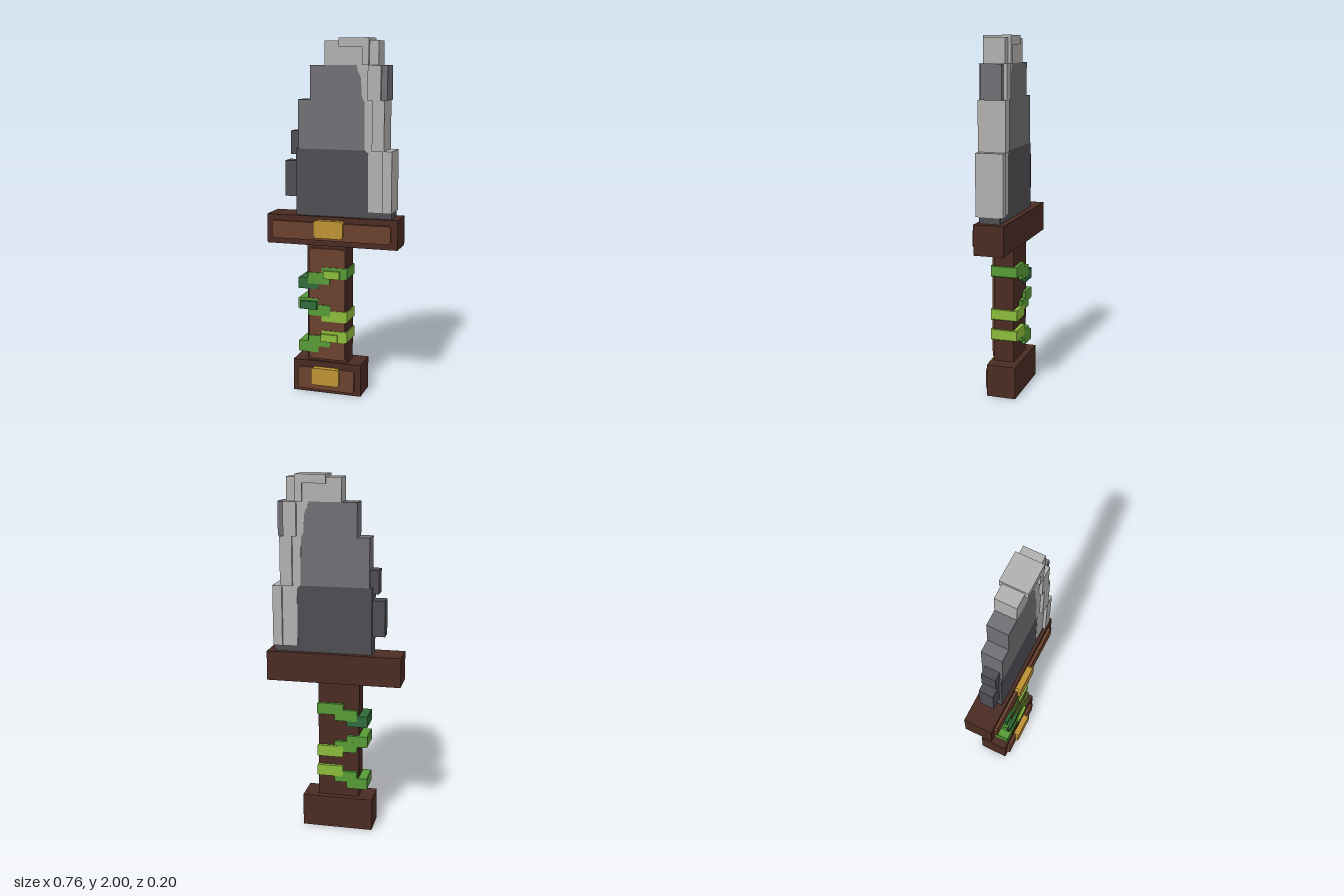
import * as THREE from 'three';

export function createModel() {
  const model = new THREE.Group();
  model.name = 'dagger';

  const mat = (name, color) => {
    const m = new THREE.MeshStandardMaterial({ color });
    m.name = name;
    return m;
  };
  const darkWood = mat('dark wood', 0x4a2b23);
  const wood = mat('wood', 0x6b402d);
  const gold = mat('gold', 0xbd9133);
  const leaf = mat('leaf green', 0x569a36);
  const lime = mat('lime green', 0x8bbb3c);
  const deepLeaf = mat('deep green', 0x2f6b3a);
  const lightSteel = mat('light steel', 0xb1b0ae);
  const midSteel = mat('mid steel', 0x706f74);
  const darkSteel = mat('dark steel', 0x4e4d52);

  const add = (name, geometry, material) => {
    const mesh = new THREE.Mesh(geometry, material);
    mesh.name = name;
    model.add(mesh);
  };

  // Box given by its limits on each axis
  const box = (name, material, [x0, x1], [y0, y1], [z0, z1]) => {
    const g = new THREE.BoxGeometry(x1 - x0, y1 - y0, z1 - z0);
    g.translate((x0 + x1) / 2, (y0 + y1) / 2, (z0 + z1) / 2);
    add(name, g, material);
  };

  // Flat outline extruded between two depths
  const slab = (name, material, points, [z0, z1]) => {
    const shape = new THREE.Shape(points.map(([x, y]) => new THREE.Vector2(x, y)));
    const g = new THREE.ExtrudeGeometry(shape, { depth: z1 - z0, bevelEnabled: false });
    g.translate(0, 0, z0);
    add(name, g, material);
  };

  // Plate with clipped corners
  const plate = (name, material, [x0, x1], [y0, y1], z, c = 0.012) =>
    slab(name, material, [
      [x0 + c, y0], [x1 - c, y0], [x1, y0 + c], [x1, y1 - c],
      [x1 - c, y1], [x0 + c, y1], [x0, y1 - c], [x0, y0 + c],
    ], z);

  // Pommel
  box('pommel', darkWood, [-0.226, 0.174], [0, 0.185], [-0.1, 0.066]);
  plate('pommelPanel', wood, [-0.196, 0.14], [0.02, 0.15], [0.05, 0.083]);
  plate('pommelStud', gold, [-0.11, 0.055], [0.053, 0.153], [0.06, 0.1]);

  // Grip
  box('grip', darkWood, [-0.143, 0.09], [0.18, 0.87], [-0.064, 0.052]);
  plate('gripPanel', wood, [-0.13, 0.08], [0.2, 0.845], [0.04, 0.064]);

  // Crossguard
  box('guard', darkWood, [-0.378, 0.378], [0.862, 1.028], [-0.1, 0.066]);
  plate('guardPanel', wood, [-0.345, 0.343], [0.895, 0.995], [0.05, 0.083]);
  plate('guardStud', gold, [-0.093, 0.076], [0.91, 1.01], [0.06, 0.1]);

  // Vines: three stepped bands around the grip (right, middle, left heights)
  const bands = [
    { y: [0.708, 0.674, 0.642], m: [leaf, leaf, deepLeaf] },
    { y: [0.457, 0.488, 0.523], m: [lime, leaf, leaf] },
    { y: [0.339, 0.307, 0.27], m: [lime, leaf, leaf] },
  ];
  const spans = [[-0.055, 0.094], [-0.135, -0.006], [-0.194, -0.075]];
  bands.forEach((band, i) => spans.forEach((span, j) => {
    const d = 0.001 * j;
    const front = j === 1 ? 0.071 : 0.069 - d;
    plate(`vine${i + 1}Step${j + 1}`, band.m[j], span,
      [band.y[j] - 0.032, band.y[j] + 0.032], [-0.084 + d, front], 0.004);
  }));
  box('vineLeafTop', lime, [-0.042, 0.053], [0.677, 0.722], [0.06, 0.083]);
  box('vineLeafMiddle', deepLeaf, [-0.18, -0.08], [0.494, 0.54], [0.06, 0.083]);
  box('vineLeafBottom', lime, [-0.058, 0.04], [0.309, 0.353], [0.06, 0.083]);

  // Blade core
  slab('bladeBase', darkSteel, [
    [-0.21, 1.02], [0.34, 1.02], [0.34, 1.062], [0.206, 1.062],
    [0.206, 1.385], [0.185, 1.4], [-0.21, 1.4],
  ], [-0.068, 0.047]);
  slab('bladeBody', midSteel, [
    [-0.195, 1.4], [0.186, 1.4], [0.182, 1.66], [0.168, 1.69],
    [0.162, 1.79], [0.143, 1.83], [0.14, 1.855], [-0.126, 1.855],
    [-0.126, 1.67], [-0.195, 1.67],
  ], [-0.069, 0.048]);
  slab('bladeEdge', lightSteel, [
    [0.206, 1.062], [0.3, 1.062], [0.3, 1.4], [0.27, 1.4], [0.27, 1.67],
    [0.26, 1.67], [0.26, 1.985], [-0.041, 1.985], [-0.041, 1.855],
    [0.14, 1.855], [0.143, 1.83], [0.162, 1.79], [0.168, 1.69],
    [0.182, 1.66], [0.186, 1.4], [0.206, 1.385],
  ], [-0.07, 0.048]);

  // Raised rim stepping down the cutting side
  const rim = [-0.086, 0.066];
  slab('rimTip', lightSteel, [
    [0.042, 1.952], [0.172, 1.952], [0.172, 1.855], [0.21, 1.855],
    [0.21, 2], [0.042, 2],
  ], rim);
  box('rimUpper', lightSteel, [0.205, 0.277], [1.67, 1.855], rim);
  box('rimMiddle', lightSteel, [0.23, 0.298], [1.4, 1.67], rim);
  box('rimLower', lightSteel, [0.29, 0.342], [1.062, 1.4], rim);
  box('edgeChip', midSteel, [0.27, 0.31], [1.67, 1.855], [-0.069, 0.048]);

  // Notches on the spine
  box('spineNotchLower', darkSteel, [-0.279, -0.2], [1.13, 1.33], [-0.05, 0.032]);
  box('spineNotchUpper', darkSteel, [-0.244, -0.18], [1.366, 1.497], [-0.05, 0.032]);

  return model;
}
